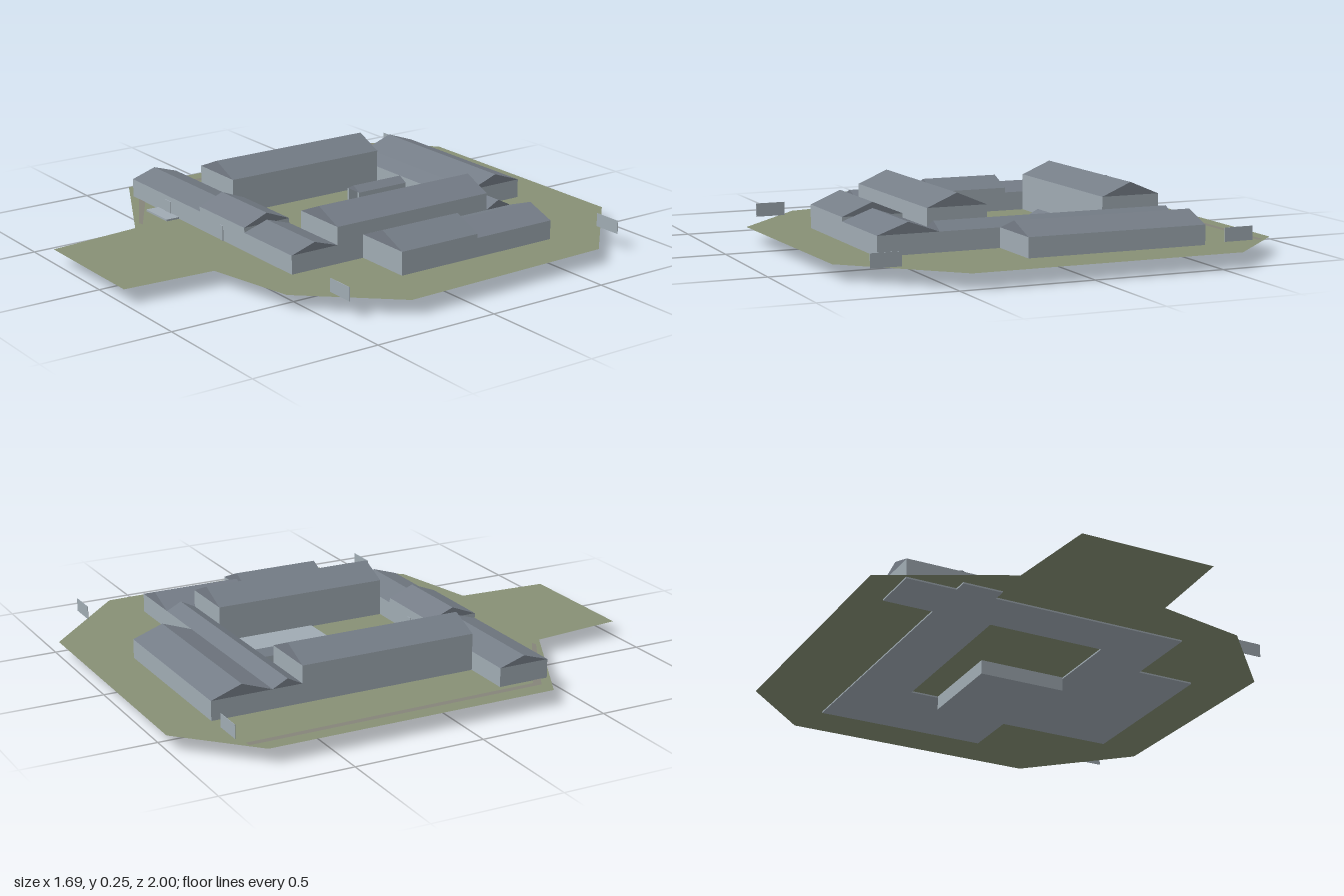
import * as THREE from 'three';

const material = (name, color, side = THREE.FrontSide) => {
  const m = new THREE.MeshStandardMaterial({ color, side });
  m.name = name;
  return m;
};

export function createModel() {
  const model = new THREE.Group();
  model.name = 'courtyardBuildings';
  const wall = material('paleGreyWall', 0xa0abb3);
  const roof = material('slateRoof', 0x757d87);
  const grass = material('grass', 0x879075, THREE.DoubleSide);
  const earth = material('earth', 0x85847a);
  const GROUND = 0.056, FOOT = 0.05;

  const add = (parent, name, geometry, mat) => {
    const mesh = new THREE.Mesh(geometry, mat);
    mesh.name = name;
    parent.add(mesh);
    return mesh;
  };

  // Box given by its limits on each axis
  const block = (parent, name, [x0, x1], [y0, y1], [z0, z1], mat) => {
    const g = new THREE.BoxGeometry(x1 - x0, y1 - y0, z1 - z0);
    g.translate((x0 + x1) / 2, (y0 + y1) / 2, (z0 + z1) / 2);
    return add(parent, name, g, mat);
  };

  // Triangular roof with its ridge along x or z
  const gable = (parent, xs, zs, eave, ridge, axis) => {
    const width = axis === 'z' ? xs[1] - xs[0] : zs[1] - zs[0];
    const length = axis === 'z' ? zs[1] - zs[0] : xs[1] - xs[0];
    const shape = new THREE.Shape([
      new THREE.Vector2(-width / 2, 0),
      new THREE.Vector2(width / 2, 0),
      new THREE.Vector2(0, ridge - eave),
    ]);
    const g = new THREE.ExtrudeGeometry(shape, { depth: length, bevelEnabled: false });
    g.translate(0, 0, -length / 2);
    if (axis === 'x') g.rotateY(Math.PI / 2);
    g.translate((xs[0] + xs[1]) / 2, eave, (zs[0] + zs[1]) / 2);
    add(parent, 'roof', g, roof);
  };

  const flat = (name, points, y, mat) => {
    const g = new THREE.ShapeGeometry(
      new THREE.Shape(points.map(([x, z]) => new THREE.Vector2(x, -z))));
    g.rotateX(-Math.PI / 2);
    g.translate(0, y, 0);
    return add(model, name, g, mat);
  };

  // Site lawn with the approach at the front
  flat('lawn', [
    [-0.58, -1], [-0.845, -0.745], [-0.845, 0.39], [-0.38, 0.63], [-0.34, 1], [0.18, 1],
    [0.2, 0.64], [0.555, 0.565], [0.845, 0.24], [0.82, -0.65], [0.455, -1],
  ], GROUND, grass);

  // Worn track along the right edge
  flat('track', [
    [-0.79, -0.79], [-0.78, 0.38], [-0.42, 0.59], [-0.4, 0.585], [-0.755, 0.36], [-0.765, -0.79],
  ], GROUND + 0.001, earth);

  // Buildings: name, x limits, z limits, eave height, ridge height, ridge axis
  const buildings = [
    ['frontRangeRight', [-0.73, -0.225], [0.235, 0.435], 0.128, 0.16, 'x'],
    ['frontRangeMiddle', [-0.225, 0.085], [0.235, 0.435], 0.147, 0.187, 'x'],
    ['frontRangeLeft', [0.085, 0.395], [0.235, 0.435], 0.128, 0.16, 'x'],
    ['rightWing', [-0.535, -0.302], [-0.46, 0.235], 0.197, 0.246, 'z'],
    ['leftWing', [0.163, 0.395], [-0.46, 0.235], 0.197, 0.246, 'z'],
    ['backCorridor', [-0.535, 0.395], [-0.577, -0.46], 0.13, 0.16, 'x'],
    ['backHall', [-0.535, 0.163], [-0.813, -0.577], 0.13, 0.172, 'x'],
    ['sideHallFront', [0.395, 0.63], [-0.225, 0.12], 0.146, 0.195, 'z'],
    ['sideHallBack', [0.395, 0.63], [-0.577, -0.225], 0.13, 0.172, 'z'],
  ];
  for (const [name, xs, zs, eave, ridge, axis] of buildings) {
    const house = new THREE.Group();
    house.name = name;
    block(house, 'walls', xs, [FOOT, eave], zs, wall);
    gable(house, xs, zs, eave, ridge, axis);
    model.add(house);
  }

  // Paved courtyard over a basement block
  block(model, 'basement', [-0.187, 0.163], [0, 0.06], [-0.46, -0.07], wall);

  // Covered walk in the courtyard
  const walk = new THREE.Group();
  walk.name = 'coveredWalk';
  for (const x of [-0.187, -0.12]) {
    block(walk, 'sideWall', [x, x + 0.01], [0.06, 0.11], [-0.46, -0.23], wall);
  }
  gable(walk, [-0.187, -0.11], [-0.46, -0.23], 0.11, 0.13, 'z');
  model.add(walk);

  // Entrance slab and doors
  block(model, 'entranceSlab', [-0.535, -0.38], [FOOT, 0.063], [0.435, 0.49], wall);
  block(model, 'mainDoor', [-0.48, -0.438], [GROUND, 0.11], [0.435, 0.438], wall);
  block(model, 'smallDoor', [-0.08, -0.06], [GROUND, 0.115], [0.435, 0.438], wall);
  block(model, 'courtDoor', [-0.08, -0.06], [GROUND, 0.115], [0.232, 0.235], wall);

  // Free-standing panels at the site corners
  for (const [x, z] of [[0.63, 0.433], [0.63, -0.813], [-0.73, -0.813]]) {
    block(model, 'cornerPanel', [x, x + 0.115], [0.062, 0.114], [z - 0.001, z + 0.001], wall);
  }
  return model;
}
